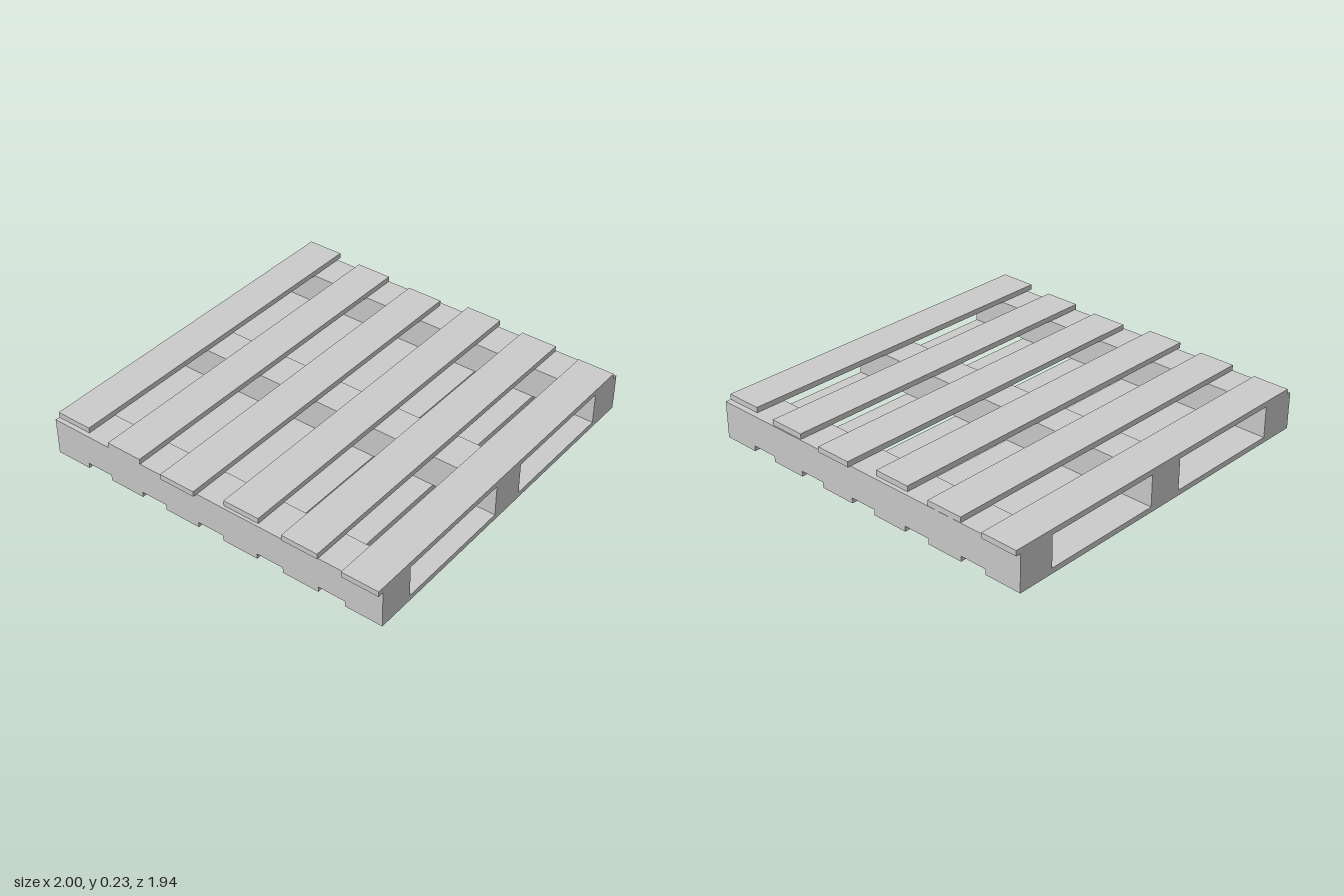
import * as THREE from 'three';

export function createModel() {
  const model = new THREE.Group();
  model.name = 'pallet';
  const material = new THREE.MeshStandardMaterial({ color: 0xcccccc, flatShading: true });

  const length = 1.94;      // boards and stringers
  const width = 0.2;        // every plank
  const board = 0.029;      // board thickness
  const stringerTop = 0.198;
  const baseX = 0.003;      // the base sits slightly off centre

  function plank(name, sx, sy, sz, x, bottom, z) {
    const mesh = new THREE.Mesh(new THREE.BoxGeometry(sx, sy, sz), material);
    mesh.name = name;
    mesh.position.set(x, bottom + sy / 2, z);
    model.add(mesh);
  }

  // Three stringers running front to back
  [-0.87, 0, 0.87].forEach((x, i) => {
    plank(`stringer${i + 1}`, width, stringerTop - board, length, baseX + x, board, 0);
  });

  // Six rows from back to front: straight bottom boards, unevenly laid top boards
  const shifts = [0.028, 0.002, -0.019, 0.019, -0.003, -0.028];
  shifts.forEach((shift, i) => {
    const z = (i - 2.5) * (length - width) / 5;
    plank(`bottomBoard${i + 1}`, length, board, width, baseX, 0, z);
    plank(`topBoard${i + 1}`, length, board, width, shift, stringerTop, z);
  });

  return model;
}
